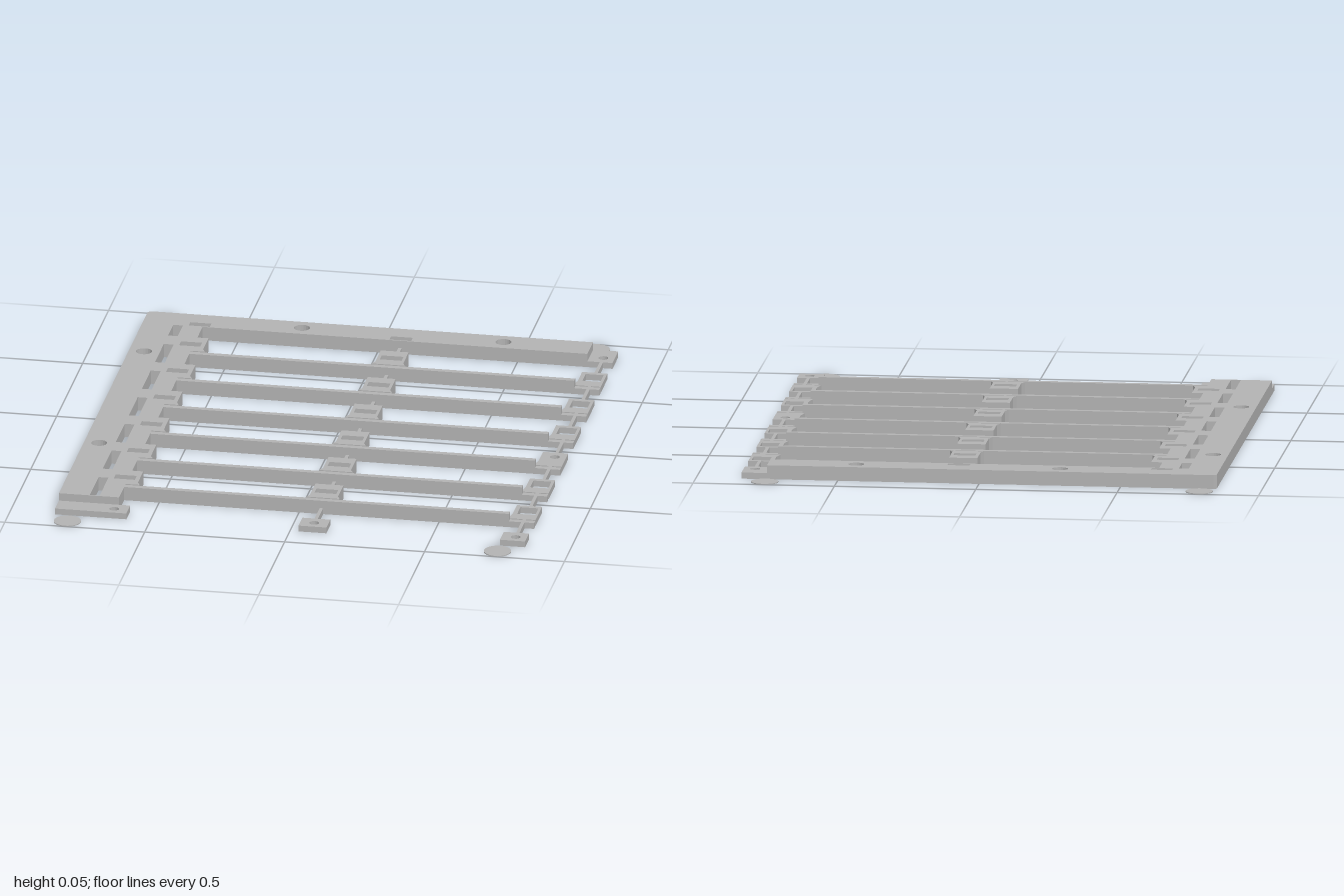
import * as THREE from 'three';

const HIGH = 0.05, LOW = 0.022, PITCH = 0.2515, ROWS = 6;

export function createModel() {
  const model = new THREE.Group();
  const grey = new THREE.MeshStandardMaterial({ color: 0xb2b2b2 });
  grey.name = 'plainGrey';

  const rect = (x0, x1, z0, z1) => [[x0, z0], [x1, z0], [x1, z1], [x0, z1]];
  const toPath = (pts) => new THREE.Path(pts.map((p) => new THREE.Vector2(p[0], p[1])));
  const round = (x, z, r) => new THREE.Path().absarc(x, z, r, 0, Math.PI * 2, true);

  // Flat plate drawn in x/z; tapered slots narrow towards the underside
  function plate(name, outline, height, holes = [], slots = []) {
    const shape = new THREE.Shape(outline.map((p) => new THREE.Vector2(p[0], p[1])));
    shape.holes.push(...holes, ...slots.map((s) => toPath(rect(...s))));
    const geo = new THREE.ExtrudeGeometry(shape, { depth: height, bevelEnabled: false, curveSegments: 10 });
    geo.rotateX(Math.PI / 2).translate(0, height, 0);
    const pos = geo.attributes.position;
    for (let i = 0; i < pos.count; i++) {
      if (pos.getY(i) > 0.001) continue;
      for (const [x0, x1, z0, z1] of slots) {
        const x = pos.getX(i), z = pos.getZ(i), e = 1e-4;
        if (x > x0 - e && x < x1 + e && z > z0 - e && z < z1 + e) {
          const c = (x0 + x1) / 2;
          pos.setX(i, c + (x - c) * 0.78);
          break;
        }
      }
    }
    if (slots.length) geo.computeVertexNormals();
    const mesh = new THREE.Mesh(geo, grey);
    mesh.name = name;
    model.add(mesh);
  }

  // L-shaped frame with the inner beam and its row of clips
  const frame = [[-0.83, -0.9], [0.75, -0.9], [0.75, -0.79], [-0.625, -0.79]];
  const frameHoles = [round(-0.28, -0.845, 0.028), round(0.44, -0.845, 0.028),
    round(-0.786, -0.53, 0.028), round(-0.786, 0.335, 0.028),
    toPath(rect(-0.73, -0.695, -0.79, -0.69))];
  const frameSlots = [[-0.675, -0.6, -0.825, -0.795], [0.042, 0.12, -0.825, -0.795]];
  for (let i = 0; i < ROWS; i++) {
    const z = -0.69 + PITCH * i;
    frame.push([-0.625, z], [-0.585, z], [-0.585, z + 0.105], [-0.575, z + 0.125], [-0.625, z + 0.125]);
    frameHoles.push(toPath(rect(-0.73, -0.695, z + 0.08, i < ROWS - 1 ? z + PITCH : 0.815)));
    frameSlots.push([-0.675, -0.6, z + 0.045, z + 0.082]);
  }
  frame.push([-0.625, 0.82], [-0.84, 0.82], [-0.84, -0.89]);
  plate('frame', frame, HIGH, frameHoles, frameSlots);

  // Low lap-joint tabs with pin holes
  plate('cornerTab', rect(0.75, 0.84, -0.9, -0.79), LOW, [round(0.8, -0.83, 0.017)]);
  plate('frontLeftTab', rect(-0.84, -0.585, 0.82, 0.895), LOW, [round(-0.635, 0.86, 0.017)]);
  plate('frontMiddleTab', rect(0.03, 0.13, 0.82, 0.895), LOW, [round(0.08, 0.86, 0.017)]);
  plate('frontSideTab', rect(0.75, 0.84, 0.82, 0.895), LOW, [round(0.8, 0.86, 0.017)]);

  // Thin links from the back beam to the first clips
  for (const x of [0.08, 0.8]) plate('link', rect(x - 0.006, x + 0.006, -0.79, -0.69), LOW);

  for (let i = 0; i < ROWS; i++) {
    const z = -0.69 + PITCH * i, end = z + 0.125;

    // Middle clip with flared foot
    plate('middleClip', [[0.03, z], [0.13, z], [0.13, z + 0.105], [0.14, end], [0.02, end], [0.03, z + 0.105]],
      HIGH, [], [[0.042, 0.12, z + 0.045, z + 0.082]]);

    // Low edge clip: square opening, or a pin hole in the fourth
    const opening = i === 3 ? round(0.8, z + 0.04, 0.017) : toPath(rect(0.766, 0.83, z + 0.017, z + 0.08));
    plate('edgeClip', [[0.75, z], [0.84, z], [0.84, end], [0.74, end], [0.75, z + 0.085]], LOW, [opening]);

    // Cross bar with its lowered end
    plate('crossBar', rect(-0.63, 0.75, z + 0.133, z + 0.154), HIGH);
    plate('crossBarEnd', rect(0.75, 0.84, z + 0.133, z + 0.154), LOW);

    // Links to the next row
    for (const x of [0.08, 0.8]) plate('link', rect(x - 0.006, x + 0.006, end, z + PITCH + 0.001), LOW);
  }

  // Paper-thin corner discs
  for (const x of [-0.785, 0.752]) for (const z of [-0.952, 0.952]) {
    const disc = new THREE.Mesh(new THREE.CylinderGeometry(0.048, 0.048, 0.003, 32), grey);
    disc.position.set(x, 0.0015, z);
    disc.name = 'cornerDisc';
    model.add(disc);
  }
  return model;
}
